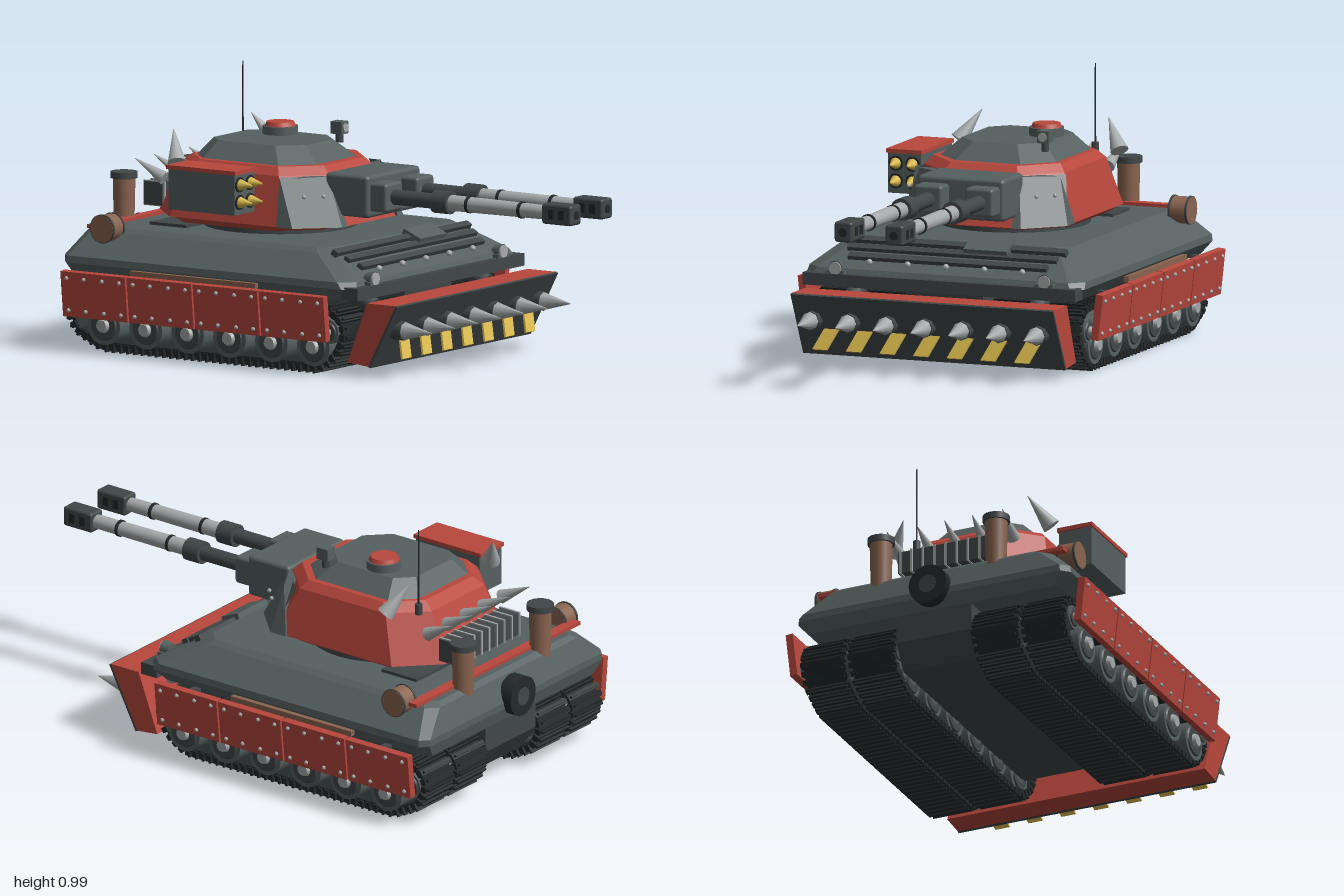
import * as THREE from 'three';
import { mergeGeometries } from 'three/addons/utils/BufferGeometryUtils.js';
import { RoundedBoxGeometry } from 'three/addons/geometries/RoundedBoxGeometry.js';

const mat = (name, color) => Object.assign(new THREE.MeshStandardMaterial({ color }), { name });

export function createModel() {
  const root = new THREE.Group();
  root.name = 'tank';
  const gray = mat('steelGray', 0x566060), dark = mat('darkSteel', 0x414749), black = mat('trackBlack', 0x24292a);
  const red = mat('armourRed', 0xb8473d), brown = mat('rustBrown', 0x8a6450), pale = mat('bareMetal', 0xa6aaaa);
  const gold = mat('warningYellow', 0xd8b84c);
  const SIDES = [1, -1];

  const add = (name, geo, material, p = [0, 0, 0], r = [0, 0, 0]) => {
    const m = new THREE.Mesh(geo, material);
    m.name = name;
    m.position.set(...p);
    m.rotation.set(...r);
    root.add(m);
    return m;
  };
  const box = (name, material, size, p, r) => add(name, new THREE.BoxGeometry(...size), material, p, r);
  // Cylinder or cone between two points
  const rod = (name, material, a, b, r0, r1 = r0, seg = 16) => {
    const A = new THREE.Vector3(...a), B = new THREE.Vector3(...b), d = B.clone().sub(A);
    const m = add(name, new THREE.CylinderGeometry(r1, r0, d.length(), seg), material, A.clone().add(B).multiplyScalar(0.5).toArray());
    m.quaternion.setFromUnitVectors(new THREE.Vector3(0, 1, 0), d.normalize());
    return m;
  };
  const rivet = (p, r = 0.008) => add('rivet', new THREE.SphereGeometry(r, 8, 6), pale, p);

  // Flat-faced solid through horizontal polygons: sections are [y, [[x, z], ...]]
  const loft = (sections) => {
    const v = [];
    const P = (k, i) => [sections[k][1][i][0], sections[k][0], sections[k][1][i][1]];
    const n = sections[0][1].length, last = sections.length - 1;
    for (let k = 0; k < last; k++) for (let i = 0; i < n; i++) {
      const j = (i + 1) % n, a = P(k, i), b = P(k, j), c = P(k + 1, j), d = P(k + 1, i);
      v.push(...a, ...b, ...c, ...a, ...c, ...d);
    }
    for (let i = 1; i < n - 1; i++) {
      v.push(...P(last, 0), ...P(last, i), ...P(last, i + 1));
      v.push(...P(0, 0), ...P(0, i + 1), ...P(0, i));
    }
    const g = new THREE.BufferGeometry();
    g.setAttribute('position', new THREE.Float32BufferAttribute(v, 3));
    g.computeVertexNormals();
    return g;
  };
  // Rectangle with cut corners (front cut cf, rear cut cr)
  const oct = (x0, x1, w, cf, cr) => [[x1, cf - w], [x1 - cf, -w], [x0 + cr, -w], [x0, cr - w],
    [x0, w - cr], [x0 + cr, w], [x1 - cf, w], [x1, w - cf]];
  const prism = (pts, depth) => new THREE.ExtrudeGeometry(new THREE.Shape(pts.map(p => new THREE.Vector2(...p))),
    { depth, bevelEnabled: false }).translate(0, 0, -depth / 2);

  // Hull
  add('hull', loft([
    [0.27, oct(-0.95, 0.27, 0.50, 0.03, 0.02)], [0.32, oct(-0.965, 0.31, 0.545, 0.04, 0.03)],
    [0.345, oct(-0.965, 0.30, 0.542, 0.05, 0.03)], [0.43, oct(-0.93, 0.15, 0.45, 0.05, 0.04)],
    [0.445, oct(-0.91, 0.13, 0.425, 0.05, 0.04)]]), gray);
  add('belly', prism([[-0.88, 0.08], [0.15, 0.08], [0.27, 0.19], [0.28, 0.28], [-0.94, 0.28], [-0.94, 0.17]], 0.30), dark);
  box('frontBumper', dark, [0.07, 0.045, 1.07], [0.30, 0.305, 0]);
  box('engineDeck', dark, [0.16, 0.012, 0.6], [-0.66, 0.45, 0]);
  [[0.16, 0.43], [0.20, 0.407], [0.245, 0.382]].forEach(([x, y], i) =>
    box('glacisRail', dark, [0.026, 0.022, 0.86 - i * 0.04], [x, y, 0], [0, 0, -0.515]));
  for (let i = -2; i <= 2; i++) rivet([0.268, 0.369, i * 0.15], 0.012);
  box('glacisBox', gray, [0.08, 0.035, 0.17], [0.17, 0.43, -0.13], [0, 0, -0.4]);
  for (const s of SIDES) {
    box('lampBracket', gray, [0.05, 0.015, 0.07], [0.305, 0.333, s * 0.41]);
    rod('headlamp', gray, [0.29, 0.348, s * 0.41], [0.325, 0.348, s * 0.41], 0.022, 0.028);
    rod('lampLens', pale, [0.325, 0.348, s * 0.41], [0.331, 0.348, s * 0.41], 0.024);
  }

  // Running gear
  const outline = [[-0.8, 0.022], [0.15, 0.022], [0.225, 0.07], [0.262, 0.135], [0.25, 0.2], [0.2, 0.238],
    [-0.86, 0.238], [-0.93, 0.21], [-0.95, 0.15], [-0.91, 0.075]];
  const loop = new THREE.Shape(outline.map(p => new THREE.Vector2(...p)));
  loop.closePath();
  const centre = new THREE.Vector2(-0.345, 0.13);
  const band = new THREE.Shape(outline.map(p => new THREE.Vector2(...p)));
  band.holes.push(new THREE.Path(outline.map(([x, y]) => new THREE.Vector2(
    centre.x + (x - centre.x) * 0.975, centre.y + (y - centre.y) * 0.86)).reverse()));
  const N = 84, path = loop.getSpacedPoints(N);
  const beltGeo = (w) => {
    const pads = [];
    for (let i = 0; i < N; i++) {
      const a = path[i], b = path[(i + 1) % N];
      const ang = Math.atan2(b.y - a.y, b.x - a.x);
      pads.push(new THREE.BoxGeometry(0.021, 0.024, w).rotateZ(ang).translate((a.x + b.x) / 2, (a.y + b.y) / 2, 0));
      pads.push(new THREE.BoxGeometry(0.008, 0.016, w * 0.9).translate(0, -0.014, 0).rotateZ(ang).translate((a.x + b.x) / 2, (a.y + b.y) / 2, 0));
    }
    return mergeGeometries(pads);
  };
  for (const s of SIDES) {
    for (const [z, w] of [[0.44, 0.176], [0.247, 0.186]]) {
      add('trackLinks', beltGeo(w), black, [0, 0, s * z]);
      add('trackBand', new THREE.ExtrudeGeometry(band, { depth: w * 0.9, bevelEnabled: false }).translate(0, 0, -w * 0.45), black, [0, 0, s * z]);
    }
    const wheel = (x, y, r) => {
      rod('roadWheel', gray, [x, y, s * 0.165], [x, y, s * 0.535], r, r, 20);
      for (const [z, d] of [[0.535, 1], [0.165, -1]]) {
        rod('wheelDish', dark, [x, y, s * z], [x, y, s * (z + d * 0.005)], r * 0.78, r * 0.72, 20);
        rod('wheelHub', pale, [x, y, s * z], [x, y, s * (z + d * 0.018)], r * 0.42, r * 0.3, 12);
      }
    };
    for (let i = 0; i < 6; i++) wheel(-0.78 + i * 0.184, 0.1, 0.072);
    wheel(-0.89, 0.16, 0.045);
    wheel(0.205, 0.16, 0.045);

    // Side skirts
    for (let i = 0; i < 4; i++) {
      const x = -0.786 + i * 0.2905, g = new THREE.Group();
      g.name = 'skirtPanel';
      g.position.set(x, 0.213, s * 0.576);
      g.rotation.x = s * 0.11;
      const plate = new THREE.Mesh(new THREE.BoxGeometry(0.283, 0.168, 0.028), red);
      plate.name = 'skirtPlate';
      g.add(plate);
      for (const dx of [-0.115, -0.04, 0.04, 0.115]) for (const dy of [-0.06, 0.06]) {
        const b = new THREE.Mesh(new THREE.SphereGeometry(0.008, 8, 6), pale);
        b.name = 'skirtRivet';
        b.position.set(dx, dy, s * 0.015);
        g.add(b);
      }
      root.add(g);
      box('skirtBracket', dark, [0.03, 0.02, 0.05], [x, 0.28, s * 0.55]);
    }
    box('sidePlank', brown, [0.55, 0.02, 0.02], [-0.37, 0.305, s * 0.556]);

    // Rear stacks and drums
    rod('exhaustStack', brown, [-0.90, 0.42, s * 0.23], [-0.90, 0.6, s * 0.23], 0.038, 0.042);
    rod('exhaustCap', dark, [-0.90, 0.595, s * 0.23], [-0.90, 0.618, s * 0.23], 0.05);
    rod('fuelDrum', brown, [-0.80, 0.45, s * 0.445], [-0.80, 0.45, s * 0.52], 0.05, 0.05, 20);
    for (const z of [0.45, 0.515]) rod('drumBand', dark, [-0.80, 0.45, s * (z - 0.004)], [-0.80, 0.45, s * (z + 0.004)], 0.053, 0.053, 20);
  }
  box('rearRack', red, [0.04, 0.014, 0.98], [-0.865, 0.45, 0]);
  rod('spareWheel', black, [-0.998, 0.355, 0], [-0.94, 0.355, 0], 0.075, 0.075, 20);
  rod('spareHub', dark, [-1, 0.355, 0], [-0.99, 0.355, 0], 0.035, 0.035, 12);

  // Turret
  rod('turretRing', dark, [-0.37, 0.44, 0], [-0.37, 0.475, 0], 0.28, 0.28, 32);
  add('turretFloor', loft([[0.462, oct(-0.73, -0.09, 0.28, 0.13, 0.13)], [0.486, oct(-0.77, 0.01, 0.31, 0.13, 0.14)]]), red);
  add('turretBody', loft([[0.485, oct(-0.78, 0.025, 0.318, 0.13, 0.14)], [0.665, oct(-0.70, -0.06, 0.275, 0.13, 0.12)],
    [0.695, oct(-0.66, -0.09, 0.25, 0.12, 0.11)]]), red);
  add('turretRoof', loft([[0.694, oct(-0.635, -0.125, 0.228, 0.10, 0.08)], [0.755, oct(-0.59, -0.20, 0.165, 0.08, 0.06)]]), gray);
  const cheek = (x1, xr, w) => [[x1, 0.16], [xr, 0.16], [xr, w], [x1 - 0.13, w], [x1, w - 0.13]];
  const flip = (pts) => pts.map(([x, z]) => [x, -z]).reverse();
  for (const s of SIDES) {
    const f = s > 0 ? (p) => p : flip;
    add('cheekArmour', loft([[0.486, f(cheek(0.035, -0.165, 0.327))], [0.662, f(cheek(-0.05, -0.125, 0.285))]]), gray);
    for (const [x, y, z] of [[-0.02, 0.60, 0.235], [-0.07, 0.60, 0.287]]) rivet([x, y, s * z]);
    rod('hornSpike', pale, [-0.61, 0.685, s * 0.315], [-0.67, 0.795, s * 0.248], 0.034, 0.001, 12);
  }

  // Hatch, sight and antenna
  rod('hatchRing', gray, [-0.44, 0.75, -0.1], [-0.44, 0.785, -0.1], 0.064, 0.064, 24);
  rod('hatchLid', red, [-0.44, 0.785, -0.1], [-0.44, 0.8, -0.1], 0.056, 0.05, 24);
  rod('sightPost', dark, [-0.235, 0.73, -0.18], [-0.235, 0.77, -0.18], 0.014);
  box('sightHead', gray, [0.05, 0.045, 0.045], [-0.235, 0.785, -0.18]);
  rod('sightLens', pale, [-0.211, 0.785, -0.18], [-0.205, 0.785, -0.18], 0.016);
  rod('antennaBase', dark, [-0.67, 0.66, -0.195], [-0.67, 0.70, -0.195], 0.014);
  rod('antenna', black, [-0.67, 0.69, -0.195], [-0.67, 0.99, -0.195], 0.004, 0.002, 6);

  // Rear stowage basket and spikes
  box('stowageBasket', dark, [0.08, 0.085, 0.38], [-0.80, 0.54, 0]);
  for (let i = 0; i < 9; i++) box('basketBar', pale, [0.092, 0.092, 0.008], [-0.80, 0.54, -0.18 + i * 0.045]);
  for (const z of [-0.22, -0.105, 0, 0.105, 0.22]) rod('rearSpike', pale, [-0.73, 0.605, z], [-0.85, 0.67, z * 1.05], 0.026, 0.001, 10);

  // Twin guns
  add('mantlet', new RoundedBoxGeometry(0.19, 0.155, 0.34, 2, 0.015), gray, [0.035, 0.6, 0]);
  for (const s of SIDES) {
    const z = s * 0.1;
    const bar = (name, m, x0, x1, r0, r1) => rod(name, m, [x0, 0.6, z], [x1, 0.6, z], r0, r1, 18);
    add('gunCollar', new RoundedBoxGeometry(0.08, 0.105, 0.11, 2, 0.012), gray, [0.16, 0.6, z]);
    bar('barrelRoot', dark, 0.19, 0.39, 0.028);
    bar('barrelSleeve', dark, 0.38, 0.45, 0.042);
    bar('barrel', pale, 0.45, 0.88, 0.029, 0.026);
    for (const x of [0.53, 0.76]) bar('barrelRing', black, x - 0.006, x + 0.006, 0.031);
    add('muzzleBrake', new RoundedBoxGeometry(0.13, 0.075, 0.07, 2, 0.01), dark, [0.932, 0.6, z]);
    for (const x of [0.91, 0.955]) box('muzzleVent', black, [0.025, 0.035, 0.074], [x, 0.6, z]);
    bar('bore', black, 0.99, 1.0, 0.016);
  }

  // Missile launcher
  box('launcherBox', gray, [0.29, 0.15, 0.13], [-0.41, 0.61, 0.385]);
  box('launcherLid', red, [0.305, 0.015, 0.14], [-0.41, 0.69, 0.385]);
  box('launcherMount', dark, [0.14, 0.07, 0.08], [-0.41, 0.58, 0.3]);
  for (const y of [0.58, 0.645]) for (const z of [0.352, 0.418]) {
    rod('launchTube', black, [-0.27, y, z], [-0.26, y, z], 0.028);
    rod('missileTip', gold, [-0.26, y, z], [-0.21, y, z], 0.021, 0.003, 12);
  }

  // Dozer blade
  add('blade', prism([[0.277, 0.053], [0.368, 0.043], [0.488, 0.275], [0.362, 0.275]], 1.03), red);
  const tilt = Math.atan2(0.232, 0.12);
  box('bladeFace', dark, [0.262, 0.009, 1.03], [0.432, 0.157, 0], [0, 0, tilt]);
  for (let i = -3; i <= 3; i++) {
    const z = i * 0.148;
    rod('spikeBase', dark, [0.43, 0.176, z], [0.482, 0.176, z], 0.036, 0.036, 8);
    rod('bladeSpike', pale, [0.482, 0.176, z], [0.6, 0.176, z], 0.033, 0.001, 8);
    // Slanted warning stripe, leaning off the blade
    const stripe = new THREE.Shape([[0.045, 0.04], [-0.012, 0.04], [-0.045, -0.04], [0.012, -0.04]].map(p => new THREE.Vector2(...p)));
    const g = new THREE.ExtrudeGeometry(stripe, { depth: 0.008, bevelEnabled: false }).scale(1, 1, 1);
    g.rotateY(Math.PI / 2).scale(1, 1, -1);
    g.index === null && g.scale(1, 1, -1);
    g.rotateZ(0.43);
    add('warningStripe', g, gold, [0.445, 0.104, -i * 0.132]);
  }
  for (const s of SIDES) {
    rod('bladeArm', pale, [0.2, 0.275, s * 0.36], [0.4, 0.18, s * 0.36], 0.025);
    rod('armSleeve', dark, [0.2, 0.28, s * 0.36], [0.29, 0.235, s * 0.36], 0.034);
  }
  return root;
}
